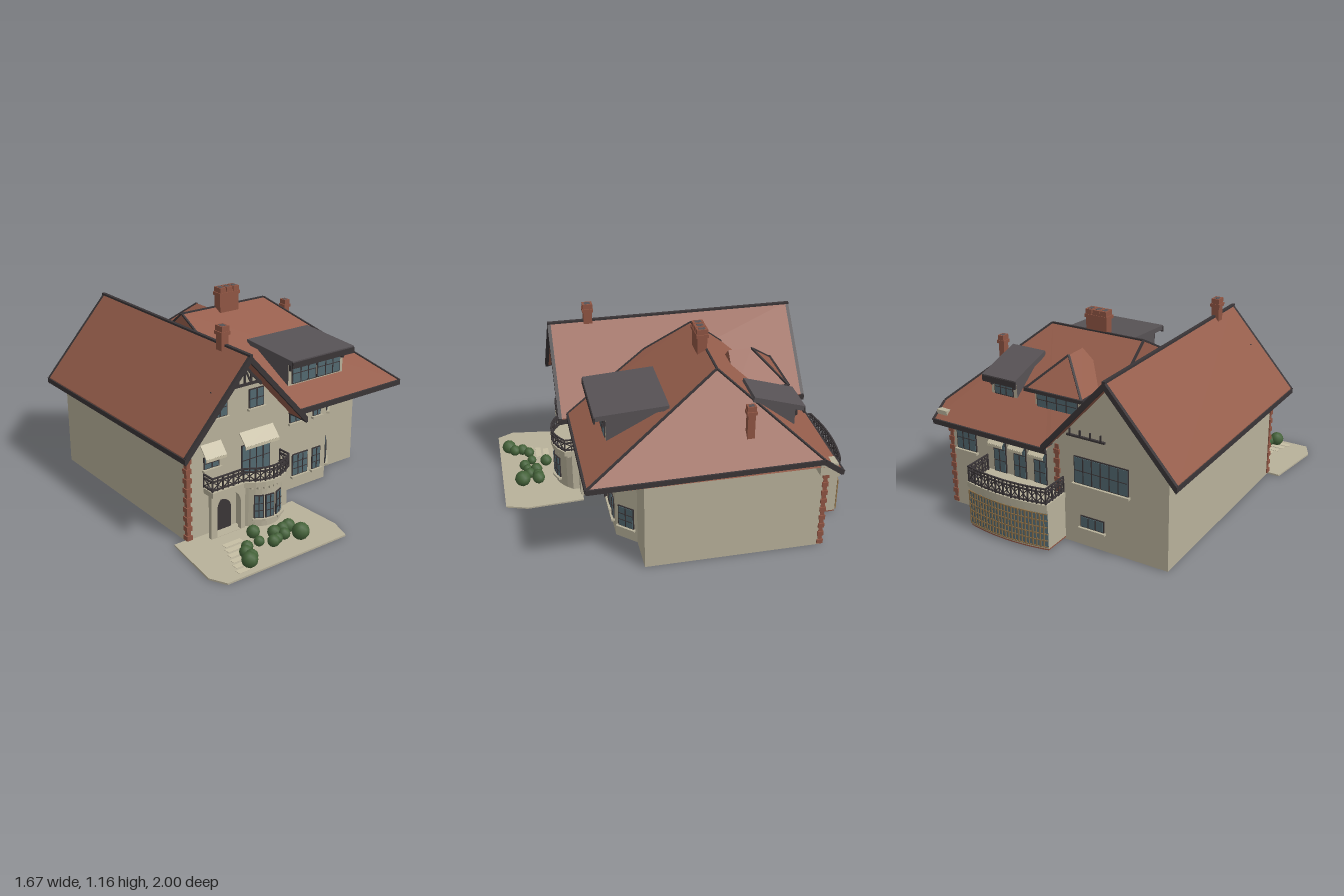
import * as THREE from 'three';

const mat = (name, color, side = THREE.FrontSide) => {
  const m = new THREE.MeshStandardMaterial({ color, side });
  m.name = name;
  return m;
};

export function createModel() {
  const plaster = mat('plaster', 0xb8b19a);
  const tiles = mat('roof tiles', 0x955d4b, THREE.DoubleSide);
  const lead = mat('flat roof grey', 0x575255);
  const glass = mat('window glass', 0x526870);
  const dark = mat('dark timber', 0x3a3537);
  const brick = mat('brick', 0x8f5543);
  const cream = mat('awning cream', 0xc6bea4);
  const bronze = mat('bronze glazing bars', 0x94764c);
  const leaf = mat('foliage', 0x446239);
  const house = new THREE.Group();
  house.name = 'house';

  const group = (name, parent = house) => {
    const g = new THREE.Group();
    g.name = name;
    parent.add(g);
    return g;
  };
  const add = (name, geo, m, parent = house) => {
    const mesh = new THREE.Mesh(geo, m);
    mesh.name = name;
    parent.add(mesh);
    return mesh;
  };
  // Box given by its minimum and maximum corners
  const box = (name, [x0, y0, z0], [x1, y1, z1], m, parent) => {
    const b = add(name, new THREE.BoxGeometry(x1 - x0, y1 - y0, z1 - z0), m, parent);
    b.position.set((x0 + x1) / 2, (y0 + y1) / 2, (z0 + z1) / 2);
    return b;
  };
  // Bar from a to b, w wide and t thick
  const beam = (name, a, b, w, t, m, parent) => {
    const p = new THREE.Vector3(...a), q = new THREE.Vector3(...b);
    const bar = add(name, new THREE.BoxGeometry(w, t, p.distanceTo(q)), m, parent);
    bar.position.copy(p).lerp(q, 0.5);
    bar.lookAt(q);
    return bar;
  };
  // Solid raised from an [x, z] plan
  const planSolid = (name, pts, y0, h, m, parent) => {
    const shape = new THREE.Shape(pts.map(([x, z]) => new THREE.Vector2(x, -z)));
    const geo = new THREE.ExtrudeGeometry(shape, { depth: h, bevelEnabled: false });
    return add(name, geo.rotateX(-Math.PI / 2).translate(0, y0, 0), m, parent);
  };
  // Solid from an [x, y] profile between two z values
  const profileSolid = (name, shape, z0, z1, m, parent) => {
    const s = Array.isArray(shape) ? new THREE.Shape(shape.map(p => new THREE.Vector2(...p))) : shape;
    const geo = new THREE.ExtrudeGeometry(s, { depth: z1 - z0, bevelEnabled: false, curveSegments: 10 });
    return add(name, geo.translate(0, 0, z0), m, parent);
  };
  // Flat polygons, each fanned from its first corner
  const polygons = (name, faces, m, parent) => {
    const v = [];
    for (const f of faces) for (let i = 1; i < f.length - 1; i++) v.push(...f[0], ...f[i], ...f[i + 1]);
    const geo = new THREE.BufferGeometry();
    geo.setAttribute('position', new THREE.Float32BufferAttribute(v, 3));
    geo.computeVertexNormals();
    return add(name, geo, m, parent);
  };
  // Curved row of [x, z] points
  const bow = (x0, x1, z, sag, n = 10) => Array.from({ length: n + 1 }, (_, i) => {
    const u = 2 * i / n - 1;
    return [x0 + (x1 - x0) * i / n, z + sag * (1 - u * u)];
  });
  // Window or door facing +z, turned by ry
  const windowAt = (name, x, y, z, w, h, cols = 2, rows = 2, ry = 0, sill = true, parent = house) => {
    const g = group(name, parent);
    g.position.set(x, y, z);
    g.rotation.y = ry;
    box('frame', [-w / 2 - 0.006, -h / 2 - 0.006, -0.004], [w / 2 + 0.006, h / 2 + 0.006, 0.003], dark, g);
    box('pane', [-w / 2, -h / 2, 0], [w / 2, h / 2, 0.006], glass, g);
    for (let i = 1; i < cols; i++) {
      const bx = -w / 2 + w * i / cols;
      box('mullion', [bx - 0.003, -h / 2, 0.003], [bx + 0.003, h / 2, 0.009], dark, g);
    }
    for (let i = 1; i < rows; i++) {
      const by = -h / 2 + h * i / rows;
      box('transom', [-w / 2, by - 0.002, 0.003], [w / 2, by + 0.002, 0.009], dark, g);
    }
    if (sill) box('sill', [-w / 2 - 0.015, -h / 2 - 0.018, -0.003], [w / 2 + 0.015, -h / 2 - 0.005, 0.018], plaster, g);
  };
  // Balcony rail along an [x, z] path
  const railing = (name, path, y0, y1) => {
    const g = group(name);
    path.forEach(([x, z], i) => {
      box('post', [x - 0.004, y0, z - 0.004], [x + 0.004, y1 + 0.004, z + 0.004], dark, g);
      if (!i) return;
      const [px, pz] = path[i - 1];
      for (const y of [y0 + 0.01, y1 - 0.02, y1]) beam('rail', [px, y, pz], [x, y, z], 0.01, 0.007, dark, g);
      beam('brace', [px, y0 + 0.01, pz], [x, y1 - 0.02, z], 0.005, 0.005, dark, g);
      beam('brace', [px, y1 - 0.02, pz], [x, y0 + 0.01, z], 0.005, 0.005, dark, g);
      const mx = (px + x) / 2, mz = (pz + z) / 2;
      beam('baluster', [mx, y0, mz], [mx, y1, mz], 0.005, 0.005, dark, g);
    });
  };
  const awning = (x0, x1, z, y, out, drop) => {
    const x = (x0 + x1) / 2, s = Math.sign(out);
    beam('awning', [x, y, z], [x, y - drop, z + out], x1 - x0, 0.006, cream);
    box('awningValance', [x0, y - drop - 0.015, z + out - 0.003], [x1, y - drop, z + out + 0.003 * s * s], cream);
  };

  // Walls
  profileSolid('gableWingWalls', [[-0.7, 0], [0, 0], [0, 0.595], [-0.36, 0.99], [-0.7, 0.605]], -0.79, 0.53, plaster);
  planSolid('mainBlockWalls', [[-0.05, -0.77], [0.76, -0.77], [0.76, 0.27], [0.53, 0.27], [0.43, 0.38], [-0.05, 0.38]], 0, 0.59, plaster);
  box('rearEaveReturn', [0.755, 0.53, -0.8], [0.828, 0.6, -0.7], plaster);

  // Gable wing roof with dark verges
  const chevron = t => [[-0.78, 0.565], [-0.36, 1.035], [0.04, 0.595], [0.04, 0.595 - t], [-0.36, 1.035 - t], [-0.78, 0.565 - t]];
  profileSolid('gableRoof', chevron(0.035), -0.85, 0.625, tiles);
  for (const z of [-0.87, 0.625]) profileSolid('gableVerge', chevron(0.042), z, z + 0.02, dark);
  for (const [x, y] of [[-0.78, 0.545], [0.04, 0.575]]) beam('gableEave', [x, y, -0.87], [x, y, 0.645], 0.012, 0.03, dark);
  beam('gableRidge', [-0.36, 1.033, -0.87], [-0.36, 1.033, 0.645], 0.02, 0.012, dark);

  // Main hipped roof
  const r1 = [-0.21, 1.03, -0.21], r2 = [0.41, 1.03, -0.21];
  const fl = [0.02, 0.615, 0.59], fr = [0.83, 0.615, 0.59], vf = [-0.21, 0.878, 0.08];
  const hb = [0.83, 0.63, -0.72], br = [0.83, 0.55, -0.83], bl = [0.04, 0.55, -0.83];
  const vb = [-0.21, 0.883, -0.4], vb2 = [0.04, 0.59, -0.78];
  polygons('mainRoof', [[r1, vf, fl, fr, r2], [r2, fr, hb], [r2, hb, br, bl, vb2, vb, r1], [r1, vb, vf]], tiles);
  const low = (p, y) => [p[0], y, p[2]];
  polygons('soffit', [[low(fl, 0.585), bl, br, low(hb, 0.585), low(fr, 0.585)]], tiles);
  for (const [a, b] of [[r1, r2], [r2, fr], [r2, hb], [r1, vf], [vf, fl], [r1, vb]])
    beam('roofEdge', a, b, 0.012, 0.01, dark);
  for (const [a, b] of [[fl, fr], [fr, hb], [hb, br], [bl, br]])
    beam('gutter', [a[0], a[1] - 0.012, a[2]], [b[0], b[1] - 0.012, b[2]], 0.014, 0.03, dark);
  box('downpipe', [0.06, 0.02, 0.38], [0.076, 0.61, 0.395], dark);

  // Front dormer and rear flat dormer
  const flatDormer = (name, x0, x1, zFace, zIn, y0, y1, roofA, roofB, ry) => {
    const g = group(name), s = Math.sign(zFace), n = x1 - x0 > 0.3 ? 2 : 1;
    const sides = [[zFace, y0], [zFace, y1], [zIn, roofB[1] - 0.02], [zIn, y0]];
    const shape = new THREE.Shape(sides.map(([z, y]) => new THREE.Vector2(-z, y)));
    const geo = new THREE.ExtrudeGeometry(shape, { depth: x1 - x0, bevelEnabled: false });
    add('dormerBody', geo.rotateY(Math.PI / 2).translate(x0, 0, 0), [lead, plaster], g);
    const cx = (x0 + x1) / 2, w = (x1 - x0 - 0.04) / n;
    for (let i = 0; i < n; i++)
      windowAt('dormerWindow', x0 + 0.02 + w * (i + 0.5), (y0 + y1) / 2 + 0.005, zFace + 0.003 * s, w - 0.02, y1 - y0 - 0.035, 3, 2, ry, false, g);
    beam('dormerRoof', [cx, roofA[1], roofA[0]], [cx, roofB[1], roofB[0]], x1 - x0 + 0.05, 0.03, lead, g);
    beam('dormerFascia', [x0 - 0.026, roofA[1] - 0.01, roofA[0]], [x1 + 0.026, roofA[1] - 0.01, roofA[0]], 0.01, 0.035, dark, g);
    for (const x of [x0 + 0.01, x1 - 0.01])
      box('dormerBracket', [x - 0.006, y1 - 0.05, zFace - 0.015], [x + 0.006, y1, zFace + 0.015], dark, g);
  };
  flatDormer('frontDormer', 0.08, 0.5, 0.43, 0.12, 0.69, 0.84, [0.495, 0.855], [0.08, 0.88], 0);
  flatDormer('rearDormer', 0.37, 0.55, -0.63, -0.4, 0.69, 0.81, [-0.675, 0.815], [-0.38, 0.905], Math.PI);

  // Small hipped rear dormer
  const hd = group('hippedDormer');
  const a = [0.1, 0.975, -0.5], b = [0.1, 0.975, -0.36];
  const e = (x, z) => [x, 0.8, z];
  polygons('hippedDormerRoof', [[e(0.28, -0.68), e(-0.1, -0.68), a], [e(0.28, -0.36), e(0.28, -0.68), a, b],
    [e(-0.1, -0.68), e(-0.1, -0.36), b, a], [e(-0.1, -0.36), e(0.28, -0.36), b], [e(-0.1, -0.68), e(0.28, -0.68), e(0.28, -0.5), e(-0.1, -0.5)]], tiles, hd);
  for (const x of [-0.1, 0.28]) {
    beam('hipTile', e(x, -0.68), a, 0.012, 0.01, dark, hd);
    beam('dormerEave', e(x, -0.68), e(x, -0.53), 0.012, 0.02, dark, hd);
  }
  beam('dormerEave', e(-0.1, -0.68), e(0.28, -0.68), 0.012, 0.02, dark, hd);
  box('dormerBody', [-0.06, 0.62, -0.635], [0.24, 0.8, -0.42], plaster, hd);
  windowAt('dormerWindow', 0.09, 0.74, -0.638, 0.26, 0.09, 4, 2, Math.PI, false, hd);

  // Chimneys
  const chimney = (name, x, z, w, d, y0, y1, pots) => {
    const g = group(name);
    const slab = (n, k, lo, hi) => box(n, [x - w / 2 - k, lo, z - d / 2 - k], [x + w / 2 + k, hi, z + d / 2 + k], brick, g);
    slab('stack', -0.004, y0, y1 - 0.02);
    slab('collar', 0.003, y1 - 0.05, y1 - 0.03);
    for (let i = 0; i < pots; i++) {
      const cx = x - w / 2 + w * (i + 0.5) / pots, r = w / pots / 2 - 0.003;
      box('pot', [cx - r, y1 - 0.03, z - d / 2], [cx + r, y1, z + d / 2], brick, g);
      box('flue', [cx - r * 0.6, y1 - 0.005, z - d * 0.3], [cx + r * 0.6, y1 + 0.001, z + d * 0.3], lead, g);
    }
  };
  chimney('ridgeChimney', 0.102, -0.185, 0.145, 0.065, 0.95, 1.155, 3);
  chimney('gableChimney', -0.365, 0.4, 0.055, 0.06, 0.98, 1.14, 1);
  chimney('hipChimney', 0.69, -0.33, 0.045, 0.05, 0.7, 0.94, 1);

  // Half timbering in the front gable
  const timber = group('gableTimbering');
  beam('tieBeam', [-0.54, 0.83, 0.531], [-0.18, 0.83, 0.531], 0.012, 0.016, dark, timber);
  for (let i = -3; i <= 3; i++) {
    const x = -0.36 + i * 0.045, top = 0.985 - Math.abs(i) * 0.051;
    box('stud', [x - 0.006, 0.83, 0.528], [x + 0.006, top, 0.537], dark, timber);
  }
  for (const s of [-1, 1]) {
    beam('gableBrace', [-0.36 + s * 0.09, 0.83, 0.531], [-0.36 + s * 0.04, 0.93, 0.531], 0.01, 0.01, dark, timber);
    beam('bargeBoard', [-0.36, 0.985, 0.531], [-0.36 + s * 0.16, 0.81, 0.531], 0.012, 0.014, dark, timber);
  }

  // Front windows
  for (const x of [-0.485, -0.235]) windowAt('gableWindow', x, 0.74, 0.533, 0.09, 0.1);
  windowAt('smallUpperWindow', -0.54, 0.44, 0.533, 0.09, 0.06);
  windowAt('balconyDoor', -0.235, 0.385, 0.533, 0.19, 0.17, 4, 2, 0, false);
  awning(-0.61, -0.475, 0.53, 0.55, 0.055, 0.065);
  awning(-0.35, -0.115, 0.53, 0.555, 0.06, 0.065);
  for (const [x, w, y, h] of [[0.2, 0.115, 0.515, 0.145], [0.35, 0.05, 0.515, 0.145], [0.225, 0.11, 0.155, 0.13], [0.355, 0.055, 0.155, 0.13]])
    windowAt('mainWindow', x, y, 0.383, w, h, w > 0.1 ? 3 : 2, 3);
  for (const [y, h] of [[0.515, 0.15], [0.155, 0.13]])
    windowAt('angledWindow', 0.482, y, 0.327, 0.095, h, 2, 3, Math.atan2(0.11, 0.1));

  // Curved front bay, arched porch and balcony
  planSolid('frontBay', [[-0.37, 0.52], ...bow(-0.37, -0.07, 0.57, 0.09), [-0.07, 0.52]], 0, 0.27, plaster);
  [-0.295, -0.235, -0.165].forEach((x, i) => {
    const u = (x + 0.22) / 0.15;
    windowAt('bayWindow', x, 0.135, 0.573 + 0.09 * (1 - u * u), 0.045, 0.13, 2, 3, Math.atan(1.2 * u), true);
  });
  const porch = new THREE.Shape([[-0.59, 0], [-0.36, 0], [-0.36, 0.27], [-0.59, 0.27]].map(p => new THREE.Vector2(...p)));
  porch.holes.push(new THREE.Path().moveTo(-0.55, 0.012).lineTo(-0.55, 0.18).absarc(-0.47, 0.18, 0.08, Math.PI, 0, true).lineTo(-0.39, 0.012));
  profileSolid('porchArch', porch, 0.575, 0.6, plaster);
  const door = new THREE.Shape().moveTo(-0.53, 0.01).lineTo(-0.53, 0.13).absarc(-0.47, 0.13, 0.06, Math.PI, 0, true).lineTo(-0.41, 0.01);
  profileSolid('frontDoor', door, 0.528, 0.537, dark);
  const balcony = [[-0.59, 0.53], [-0.59, 0.61], [-0.52, 0.61], [-0.45, 0.61], ...bow(-0.38, -0.06, 0.61, 0.065, 6), [-0.06, 0.53]];
  planSolid('balconyFloor', balcony.map(([x, z]) => [x, z + (z > 0.6 ? 0.005 : -0.01)]), 0.265, 0.03, plaster);
  for (const [x, z] of bow(-0.36, -0.08, 0.59, 0.075, 9)) box('dentil', [x - 0.007, 0.245, z - 0.02], [x + 0.007, 0.266, z + 0.005], plaster);
  railing('frontRailing', balcony, 0.3, 0.38);

  // Brick corner quoins
  for (const [x, z] of [[-0.69, 0.52], [0.752, -0.76], [-0.008, -0.782]])
    for (let i = 0; i < 20; i++) {
      const k = i % 2 ? 0.012 : 0.018, y = 0.01 + i * 0.0285;
      box('quoin', [x - k, y, z - k], [x + k, y + 0.028, z + k], brick);
    }

  // Rear wing windows and rack
  windowAt('rearWideWindow', -0.29, 0.46, -0.793, 0.33, 0.15, 6, 2, Math.PI);
  windowAt('rearSmallWindow', -0.23, 0.15, -0.793, 0.14, 0.06, 3, 1, Math.PI);
  box('rearRack', [-0.32, 0.655, -0.805], [-0.08, 0.665, -0.79], dark);
  for (let i = 0; i < 4; i++) box('rackPost', [-0.3 + i * 0.065, 0.66, -0.805], [-0.292 + i * 0.065, 0.7, -0.797], dark);

  // Bowed garden room with glazed front and terrace above
  const curve = bow(-0.05, 0.485, -0.955, -0.03, 12);
  planSolid('gardenRoom', [[-0.05, -0.76], ...curve, [0.485, -0.76]], 0.02, 0.26, plaster);
  planSolid('gardenRoomFloor', [[-0.05, -0.76], ...curve, [0.485, -0.76]], 0.012, 0.008, brick);
  planSolid('terraceCornice', [[-0.055, -0.76], [-0.055, -0.965], ...curve.map(([x, z]) => [x, z - 0.012]), [0.49, -0.965], [0.49, -0.76]], 0.265, 0.03, plaster);
  curve.slice(1).forEach(([x, z], i) => {
    const [px, pz] = curve[i];
    beam('gardenGlass', [px, 0.135, pz], [x, 0.135, z], 0.006, 0.21, glass);
    for (let k = 0; k < 6; k++) beam('glazingBar', [px, 0.032 + k * 0.041, pz - 0.003], [x, 0.032 + k * 0.041, z - 0.003], 0.007, 0.006, bronze);
    box('glazingPost', [x - 0.004, 0.03, z - 0.007], [x + 0.004, 0.24, z], bronze);
    const mx = (x + px) / 2, mz = (z + pz) / 2;
    box('glazingPost', [mx - 0.003, 0.03, mz - 0.007], [mx + 0.003, 0.24, mz], bronze);
  });
  const side = x => [-0.79, -0.84, -0.9].map(z => [x, z]);
  railing('terraceRailing', [...side(-0.045), ...bow(-0.045, 0.48, -0.96, -0.03, 10), ...side(0.48).reverse()], 0.295, 0.39);
  windowAt('rearUpperWindow', 0.64, 0.45, -0.773, 0.13, 0.14, 3, 2, Math.PI);
  for (const x of [0.12, 0.26, 0.4]) {
    windowAt('terraceDoor', x, 0.405, -0.773, 0.075, 0.21, 2, 3, Math.PI, false);
    awning(x - 0.05, x + 0.05, -0.77, 0.53, -0.05, 0.045);
  }

  // Front garden
  planSolid('forecourt', [[-0.78, 0.52], [-0.83, 0.9], [-0.78, 0.998], [0.03, 0.998], [0.07, 0.87], [0.05, 0.52]], 0, 0.01, plaster);
  for (let i = 0; i < 6; i++) box('pathStone', [-0.58 - i * 0.02, 0.008, 0.68 + i * 0.05], [-0.46 - i * 0.025, 0.012, 0.715 + i * 0.05], cream);
  const shrubs = [[-0.39, 0.71, 0.038], [-0.51, 0.81, 0.034], [-0.42, 0.8, 0.03], [-0.55, 0.85, 0.036], [-0.55, 0.9, 0.036], [-0.59, 0.935, 0.045],
    [-0.36, 0.85, 0.035], [-0.3, 0.78, 0.038], [-0.235, 0.775, 0.036], [-0.195, 0.775, 0.04], [-0.265, 0.825, 0.034], [-0.19, 0.875, 0.05], [-0.32, 0.835, 0.03]];
  for (const [x, z, r] of shrubs)
    add('shrub', new THREE.IcosahedronGeometry(r, 1), leaf).position.set(x, r * 0.85 + 0.01, z);

  return house;
}
